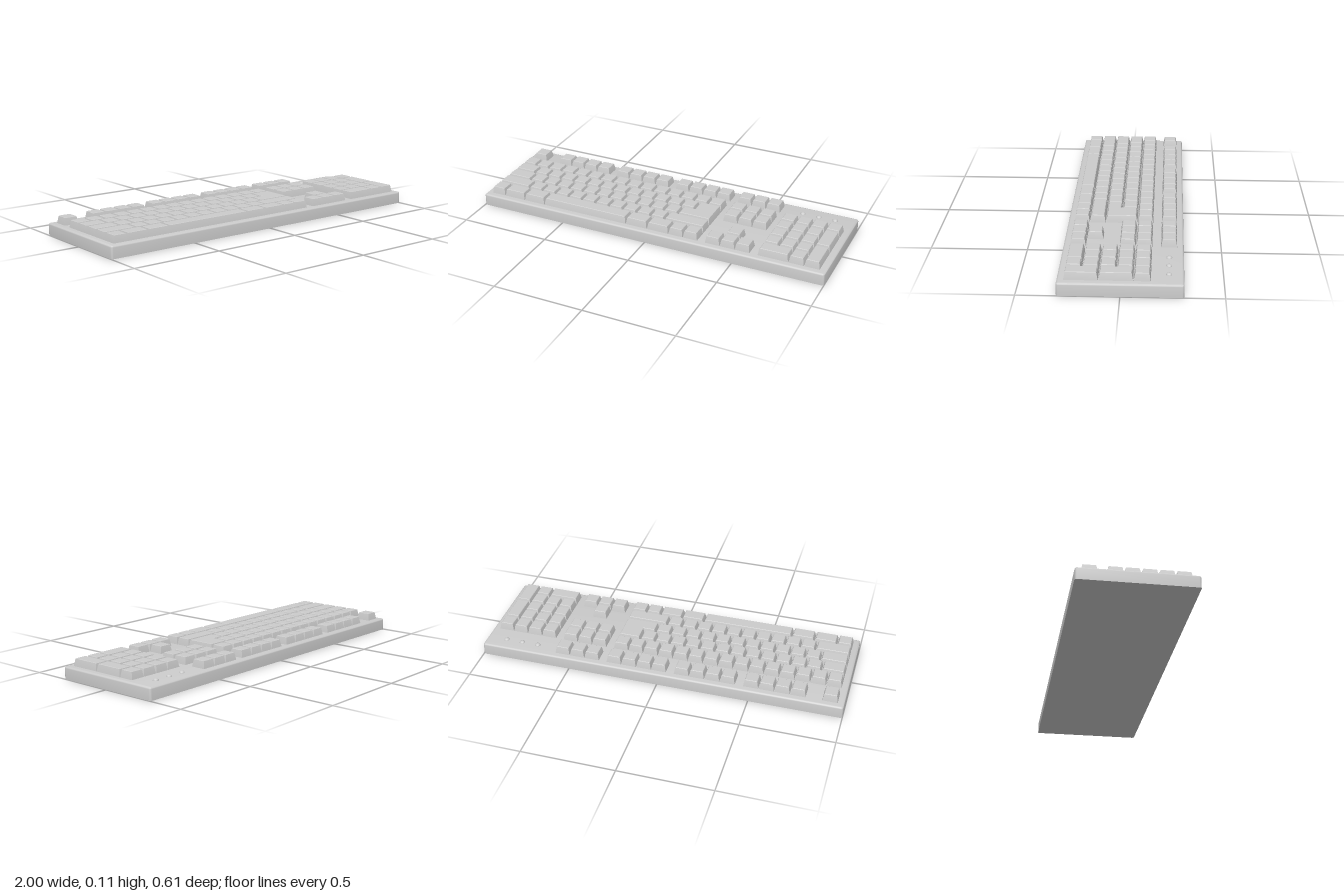
import * as THREE from 'three';
import { toCreasedNormals } from 'three/addons/utils/BufferGeometryUtils.js';

const U = 0.084;          // one key pitch
const X0 = -0.967;        // left edge of the key field
const DECK = 0.067;       // top of the case
const GAP = 0.001;
const ROW_Z = [-0.273, -0.147, -0.063, 0.021, 0.105, 0.189]; // back edge of each row

const material = new THREE.MeshStandardMaterial({ color: 0xcccccc });

// Shift an outline of Vector2 (x, z) inward by d, with mitred corners
function inset(points, d) {
  const n = points.length;
  const normal = (a, b) => {
    const e = b.clone().sub(a).normalize();
    return new THREE.Vector2(-e.y, e.x);
  };
  return points.map((p, i) => {
    const n1 = normal(points[(i + n - 1) % n], p);
    const n2 = normal(p, points[(i + 1) % n]);
    const k = d / (1 + n1.dot(n2));
    return p.clone().add(n1.add(n2).multiplyScalar(k));
  });
}

// Stack inset copies of an outline along a profile of [inset, y] and close both ends
function loft(points, profile, crease) {
  const n = points.length;
  const pos = [];
  const index = [];
  for (const [d, y] of profile) {
    for (const p of inset(points, d)) pos.push(p.x, y, p.y);
  }
  for (let r = 0; r < profile.length - 1; r++) {
    for (let i = 0; i < n; i++) {
      const a = r * n + i;
      const b = r * n + (i + 1) % n;
      index.push(a, a + n, b + n, a, b + n, b);
    }
  }
  const last = (profile.length - 1) * n;
  for (const tri of THREE.ShapeUtils.triangulateShape(points.slice(), [])) {
    const area = THREE.ShapeUtils.area(tri.map((i) => points[i]));
    const [a, b, c] = area > 0 ? tri : [tri[0], tri[2], tri[1]];
    index.push(a, b, c, last + a, last + c, last + b);
  }
  const geo = new THREE.BufferGeometry();
  geo.setAttribute('position', new THREE.Float32BufferAttribute(pos, 3));
  geo.setIndex(index);
  return toCreasedNormals(geo, crease);
}

function rectangle(x0, z0, x1, z1) {
  return [[x0, z0], [x1, z0], [x1, z1], [x0, z1]].map((p) => new THREE.Vector2(...p));
}

function roundedRectangle(hx, hz, r) {
  const pts = [];
  const corners = [[-1, -1], [1, -1], [1, 1], [-1, 1]];
  corners.forEach(([sx, sz], c) => {
    for (let i = 0; i <= 4; i++) {
      const a = Math.PI + (c + i / 4) * Math.PI / 2;
      pts.push(new THREE.Vector2(sx * (hx - r) + r * Math.cos(a), sz * (hz - r) + r * Math.sin(a)));
    }
  });
  return pts;
}

function add(parent, name, geometry) {
  const mesh = new THREE.Mesh(geometry, material);
  mesh.name = name;
  parent.add(mesh);
  return mesh;
}

// Tapered keycap with a softened top edge
const KEY_PROFILE = [[0, DECK - 0.002], [0.0065, 0.101], [0.0078, 0.105], [0.0105, 0.107]];
const keycap = (outline) => loft(inset(outline, GAP), KEY_PROFILE, 0.5);

function addKey(parent, name, row, column, width, rows = 1) {
  const x = X0 + column * U;
  const z = ROW_Z[row];
  add(parent, name, keycap(rectangle(x, z, x + width * U, z + rows * U)));
}

// A run of keys side by side, widths in key units
function addRun(parent, name, row, column, widths) {
  for (const w of widths) {
    addKey(parent, name, row, column, w);
    column += w;
  }
}

const singles = (n) => Array(n).fill(1);

export function createModel() {
  const model = new THREE.Group();
  model.name = 'keyboard';
  const section = (name) => {
    const g = new THREE.Group();
    g.name = name;
    model.add(g);
    return g;
  };

  // Case with rounded upper edges
  const edge = [[0, 0], [0, 0.057], [0.0013, 0.062], [0.005, 0.0657], [0.01, DECK]];
  add(model, 'case', loft(roundedRectangle(1, 0.305, 0.011), edge, 0.6));

  // Separate row along the back
  const backRow = section('backRowKeys');
  addKey(backRow, 'escapeKey', 0, 0, 1);
  for (const column of [2, 6.5, 11]) addRun(backRow, 'backRowKey', 0, column, singles(4));

  // Main block
  const mainKeys = section('mainKeys');
  addRun(mainKeys, 'numberRowKey', 1, 0, singles(15));
  addRun(mainKeys, 'upperRowKey', 2, 0, [1.5, ...singles(12)]);
  addRun(mainKeys, 'homeRowKey', 3, 0, [1.75, ...singles(11)]);
  addRun(mainKeys, 'lowerRowKey', 4, 0, [2.25, ...singles(10), 2.75]);
  addRun(mainKeys, 'bottomRowKey', 5, 0, [1, 1.5, 1.5, 6, 1.5, 1.5, 1, 1]);

  // L-shaped enter key over two rows
  const enter = [[13.5, 0], [15, 0], [15, 2], [12.75, 2], [12.75, 1], [13.5, 1]]
    .map(([u, v]) => new THREE.Vector2(X0 + u * U, ROW_Z[2] + v * U));
  add(mainKeys, 'enterKey', keycap(enter));

  // Navigation block and arrows
  const navigationKeys = section('navigationKeys');
  for (const row of [0, 1, 2]) addRun(navigationKeys, 'navigationKey', row, 15.5, singles(3));
  addKey(navigationKeys, 'arrowKey', 4, 16.5, 1);
  addRun(navigationKeys, 'arrowKey', 5, 15.5, singles(3));

  // Number pad
  const numberPad = section('numberPad');
  addRun(numberPad, 'padKey', 1, 19, singles(4));
  for (const row of [2, 3, 4]) addRun(numberPad, 'padKey', row, 19, singles(3));
  addRun(numberPad, 'padKey', 5, 19, [2, 1]);
  addKey(numberPad, 'padPlusKey', 2, 22, 1, 2);
  addKey(numberPad, 'padEnterKey', 4, 22, 1, 2);

  // Indicator lights
  const dome = new THREE.SphereGeometry(0.015, 20, 8, 0, Math.PI * 2, 0, Math.PI / 2);
  for (const x of [0.705, 0.796, 0.888]) {
    const light = add(model, 'indicatorLight', dome);
    light.position.set(x, DECK - 0.001, -0.232);
    light.scale.y = 0.75;
  }

  return model;
}
